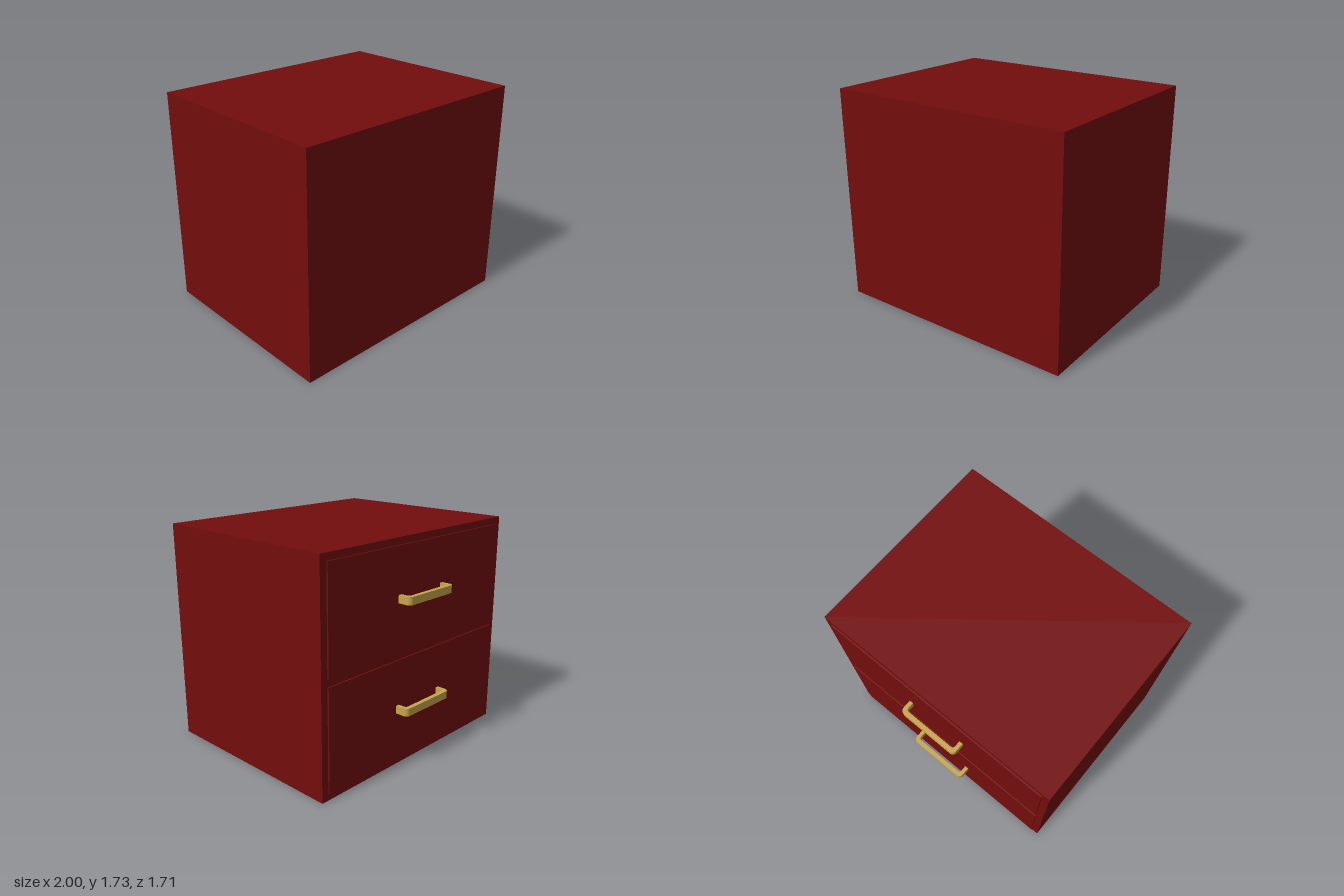
import * as THREE from 'three';

const red = new THREE.MeshStandardMaterial({ color: 0x730d0d });
red.name = 'dark red paint';
const brass = new THREE.MeshStandardMaterial({ color: 0xc8a54c });
brass.name = 'brass';

const BACK = -0.738, FACE = -0.75; // cabinet face and drawer face

// Box given by its limits on each axis
function box(name, x0, x1, y0, y1, z0, z1) {
  const mesh = new THREE.Mesh(new THREE.BoxGeometry(x1 - x0, y1 - y0, z1 - z0), red);
  mesh.position.set((x0 + x1) / 2, (y0 + y1) / 2, (z0 + z1) / 2);
  mesh.name = name;
  return mesh;
}

// U-shaped bar with rounded corners, reaching out towards -z
function handleGeometry() {
  const w = 0.253, d = 0.103, r = 0.035, t = 0.03, ri = 0.02;
  const wi = w - t, di = d - 0.034;
  const s = new THREE.Shape();
  s.moveTo(w, 0);
  s.lineTo(w, d - r);
  s.absarc(w - r, d - r, r, 0, Math.PI / 2, false);
  s.lineTo(-w + r, d);
  s.absarc(-w + r, d - r, r, Math.PI / 2, Math.PI, false);
  s.lineTo(-w, 0);
  s.lineTo(-wi, 0);
  s.lineTo(-wi, di - ri);
  s.absarc(-wi + ri, di - ri, ri, Math.PI, Math.PI / 2, true);
  s.lineTo(wi - ri, di);
  s.absarc(wi - ri, di - ri, ri, Math.PI / 2, 0, true);
  s.lineTo(wi, 0);
  s.closePath();
  const h = 0.06;
  const g = new THREE.ExtrudeGeometry(s, { depth: h, bevelEnabled: false, curveSegments: 6 });
  g.translate(0, 0, -h / 2);
  g.rotateX(-Math.PI / 2);
  return g;
}

export function createModel() {
  const model = new THREE.Group();
  model.name = 'drawerCabinet';
  model.add(box('cabinetBody', -1, 1, 0, 1.73, BACK, 0.853));

  // Two drawers, each a raised panel with a handle
  const handle = handleGeometry();
  [['lower', 0.055], ['upper', 0.894]].forEach(([name, y]) => {
    const drawer = new THREE.Group();
    drawer.name = name + 'Drawer';
    drawer.add(box(name + 'DrawerFront', -0.943, 0.943, y, y + 0.783, FACE, BACK + 0.01));
    const bar = new THREE.Mesh(handle, brass);
    bar.name = name + 'Handle';
    bar.position.set(0, y + 0.403, FACE);
    drawer.add(bar);
    model.add(drawer);
  });
  return model;
}
